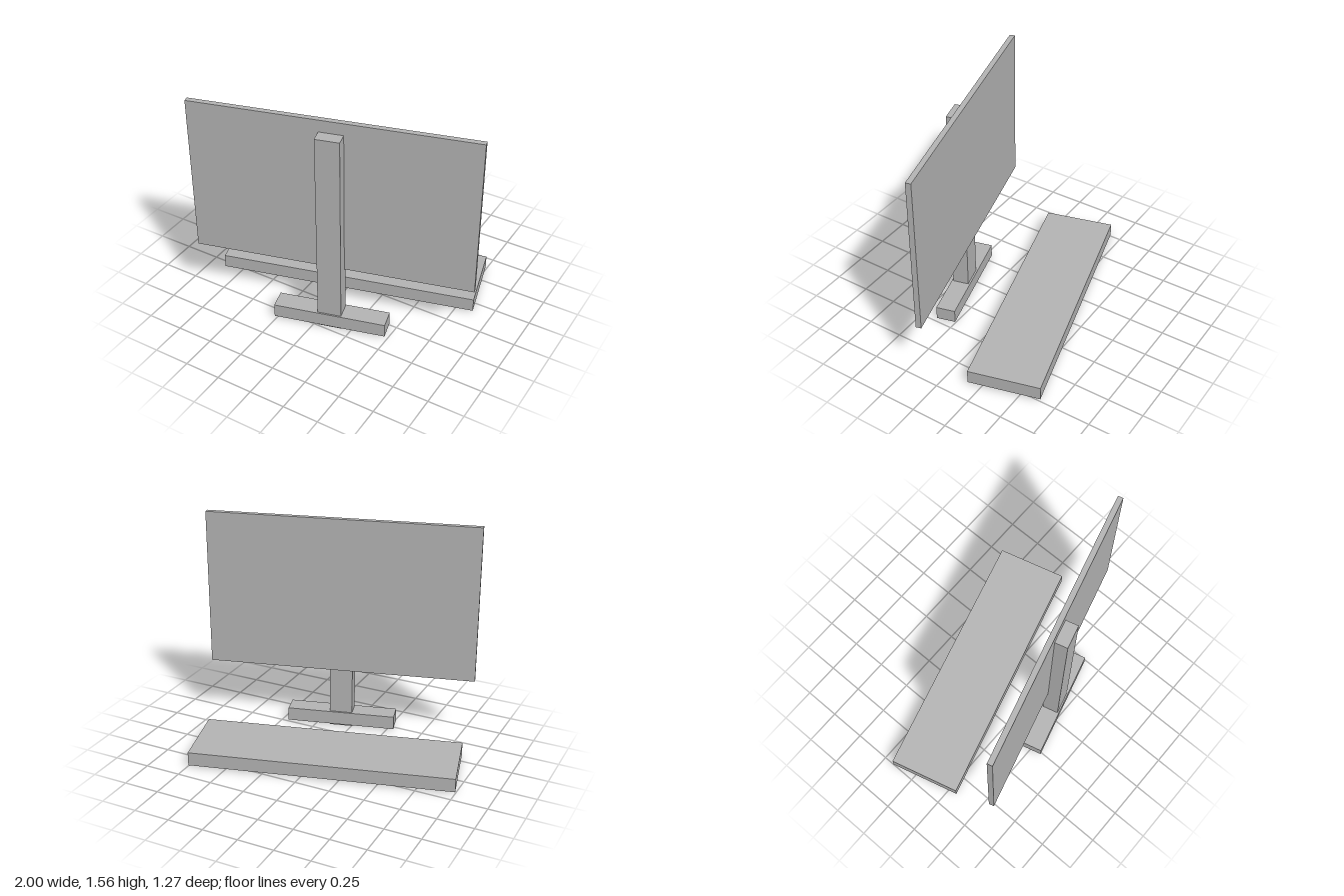
import * as THREE from 'three';

export function createModel() {
  const model = new THREE.Group();
  const grey = new THREE.MeshStandardMaterial({ color: 0xb4b4b4 });
  grey.name = 'plain grey';

  // Whole desk set is turned 15 degrees about the vertical
  const set = new THREE.Group();
  set.name = 'monitorAndKeyboard';
  set.rotation.y = Math.PI / 12;
  model.add(set);

  // Every part is a box on the shared centre line; y0..y1 is its height range
  const centreX = -0.02;
  function part(name, width, y0, y1, depth, z) {
    const mesh = new THREE.Mesh(new THREE.BoxGeometry(width, y1 - y0, depth), grey);
    mesh.name = name;
    mesh.position.set(centreX, (y0 + y1) / 2, z);
    set.add(mesh);
  }

  part('screen', 1.895, 0.443, 1.56, 0.037, 0.375);
  part('standColumn', 0.162, 0, 1.476, 0.112, 0.425);
  part('standFoot', 0.771, 0.012, 0.108, 0.135, 0.424);
  part('keyboard', 1.805, 0.012, 0.108, 0.497, -0.174);

  return model;
}
